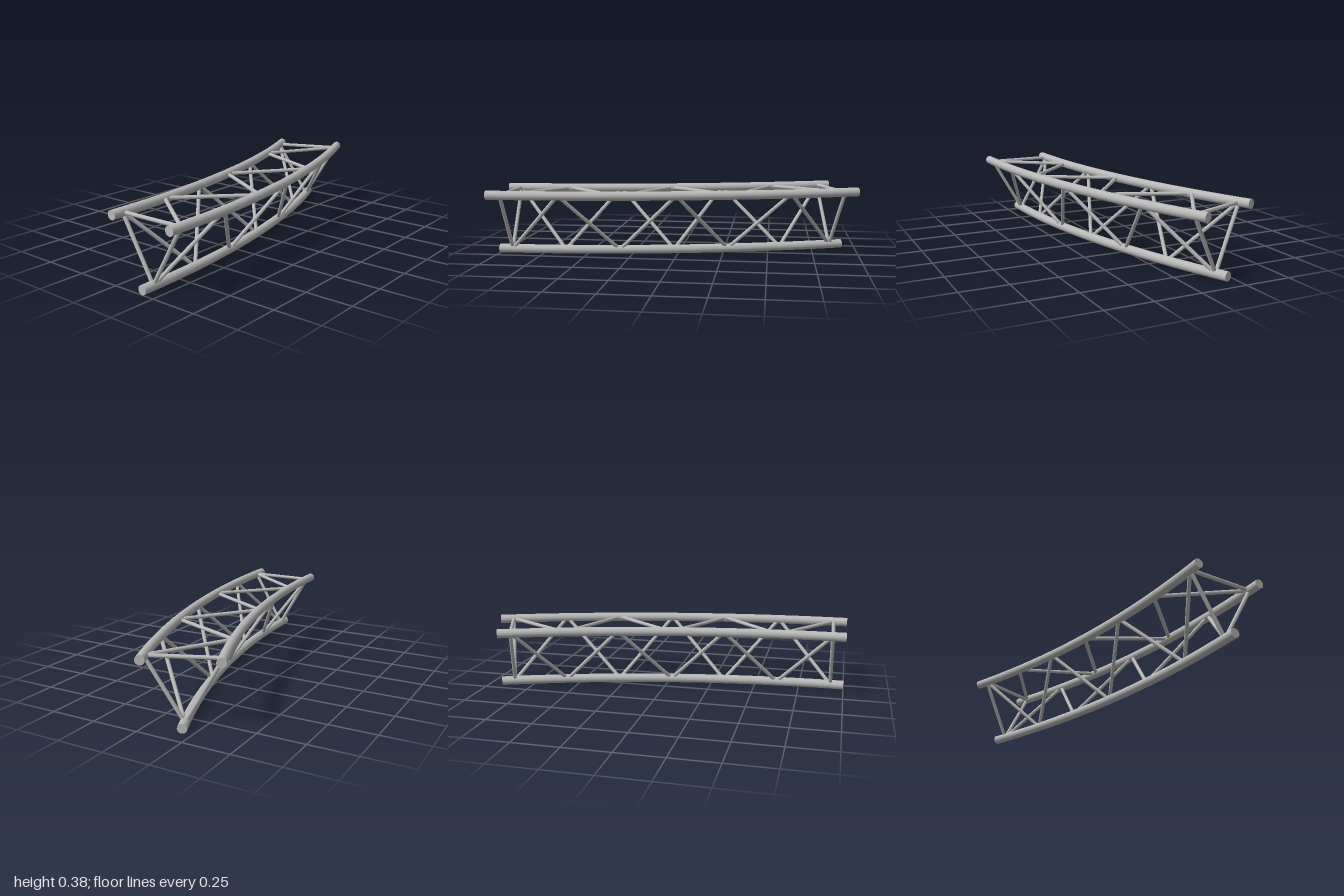
import * as THREE from 'three';

const SWEEP = Math.PI / 8;   // the truss bends through 22.5 degrees
const CENTRE_X = -4.833;     // axis of the bend, at z = 1
const CHORD_R = 0.025;
const BRACE_R = 0.0103;
const BAYS = 6;

// Three concentric chords: bend radius and height
const CHORDS = {
  inner: { radius: 4.828, y: 0.35 },
  outer: { radius: 5.201, y: 0.35 },
  lower: { radius: 5.014, y: CHORD_R },
};

function pointOn(chord, t) {
  const a = t * SWEEP;
  return new THREE.Vector3(CENTRE_X + chord.radius * Math.cos(a), chord.y, 1 - chord.radius * Math.sin(a));
}

class ChordCurve extends THREE.Curve {
  constructor(chord) {
    super();
    this.chord = chord;
  }
  getPoint(t, target = new THREE.Vector3()) {
    return target.copy(pointOn(this.chord, t));
  }
}

export function createModel() {
  const model = new THREE.Group();
  model.name = 'curvedTruss';
  const metal = new THREE.MeshStandardMaterial({ color: 0xb8b8b8 });
  metal.name = 'aluminium';

  function add(parent, geometry, name) {
    const mesh = new THREE.Mesh(geometry, metal);
    mesh.name = name;
    parent.add(mesh);
    return mesh;
  }

  // Main chords with flat end caps
  for (const [name, chord] of Object.entries(CHORDS)) {
    const group = new THREE.Group();
    group.name = name + 'Chord';
    model.add(group);
    add(group, new THREE.TubeGeometry(new ChordCurve(chord), 24, CHORD_R, 16), name + 'Tube');
    const cap = new THREE.CircleGeometry(CHORD_R, 16);
    add(group, cap, name + 'FrontCap').position.copy(pointOn(chord, 0));
    const back = add(group, cap, name + 'BackCap');
    back.position.copy(pointOn(chord, 1));
    back.rotation.y = Math.PI + SWEEP;
  }

  // Evenly spaced nodes, set in slightly from both ends
  const node = (chord, i) => pointOn(CHORDS[chord], 0.037 + (i / BAYS) * 0.926);

  // Straight rod between two nodes
  function brace(parent, from, to, name) {
    const dir = to.clone().sub(from);
    const rod = add(parent, new THREE.CylinderGeometry(BRACE_R, BRACE_R, dir.length(), 12), name);
    rod.position.copy(from).addScaledVector(dir, 0.5);
    rod.quaternion.setFromUnitVectors(new THREE.Vector3(0, 1, 0), dir.normalize());
  }

  // Each face: a strut at both ends and a zigzag between, starting on the first chord
  for (const [first, second] of [['outer', 'inner'], ['inner', 'lower'], ['lower', 'outer']]) {
    const face = new THREE.Group();
    face.name = first + 'To' + second[0].toUpperCase() + second.slice(1) + 'Bracing';
    model.add(face);
    for (const i of [0, BAYS]) brace(face, node(first, i), node(second, i), 'endStrut');
    for (let i = 0; i < BAYS; i++) {
      const [a, b] = i % 2 ? [second, first] : [first, second];
      brace(face, node(a, i), node(b, i + 1), 'diagonalBrace');
    }
  }

  return model;
}
